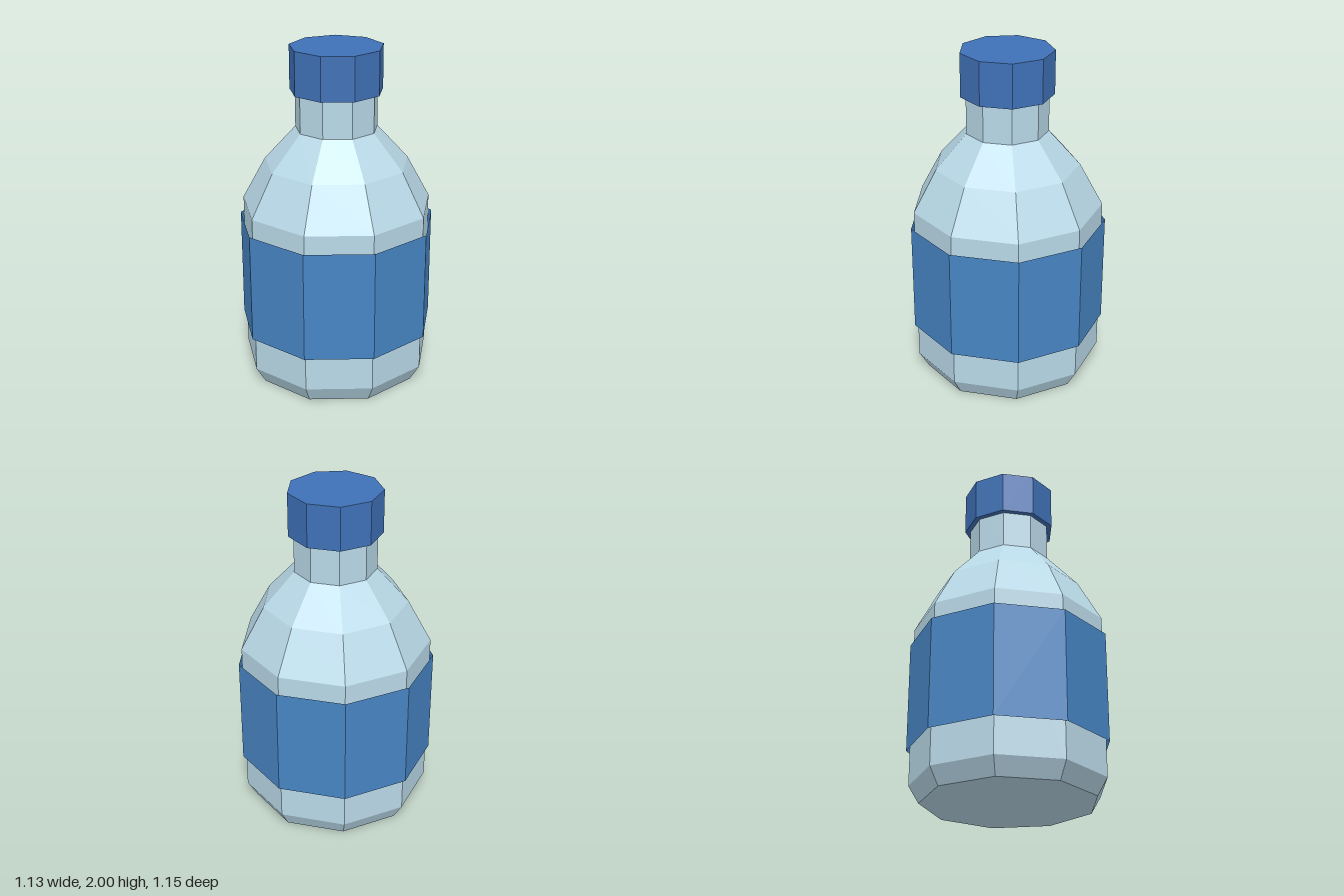
import * as THREE from 'three';

const SIDES = 9;
const START = Math.PI / 2; // one corner points to +x

function material(color, side = THREE.FrontSide) {
  return new THREE.MeshStandardMaterial({ color, flatShading: true, side });
}

// Straight nine-sided section between two heights
function prism(name, radius, y0, y1, mat, open) {
  const geometry = new THREE.CylinderGeometry(radius, radius, y1 - y0, SIDES, 1, open, START);
  const mesh = new THREE.Mesh(geometry, mat);
  mesh.name = name;
  mesh.position.y = (y0 + y1) / 2;
  return mesh;
}

export function createModel() {
  const bottle = new THREE.Group();
  bottle.name = 'bottle';

  // Body: bevelled base, straight wall, two-step shoulder and neck
  const profile = [
    [0, 0], [0.505, 0], [0.564, 0.1], [0.564, 1.063],
    [0.427, 1.315], [0.242, 1.52], [0.242, 1.76], [0, 1.76],
  ].map(([r, y]) => new THREE.Vector2(r, y));
  const body = new THREE.Mesh(
    new THREE.LatheGeometry(profile, SIDES, START),
    material(0xb9d9e8),
  );
  body.name = 'body';
  bottle.add(body);

  // Label: open sleeve just outside the wall
  bottle.add(prism('label', 0.584, 0.306, 0.961, material(0x4785c4, THREE.DoubleSide), true));

  // Cap: closed, a little wider than the neck
  bottle.add(prism('cap', 0.273, 1.742, 2, material(0x3f71b7), false));

  // Centre the odd-sided outline on x = 0
  bottle.children.forEach((part) => { part.position.x = -0.018; });
  return bottle;
}
